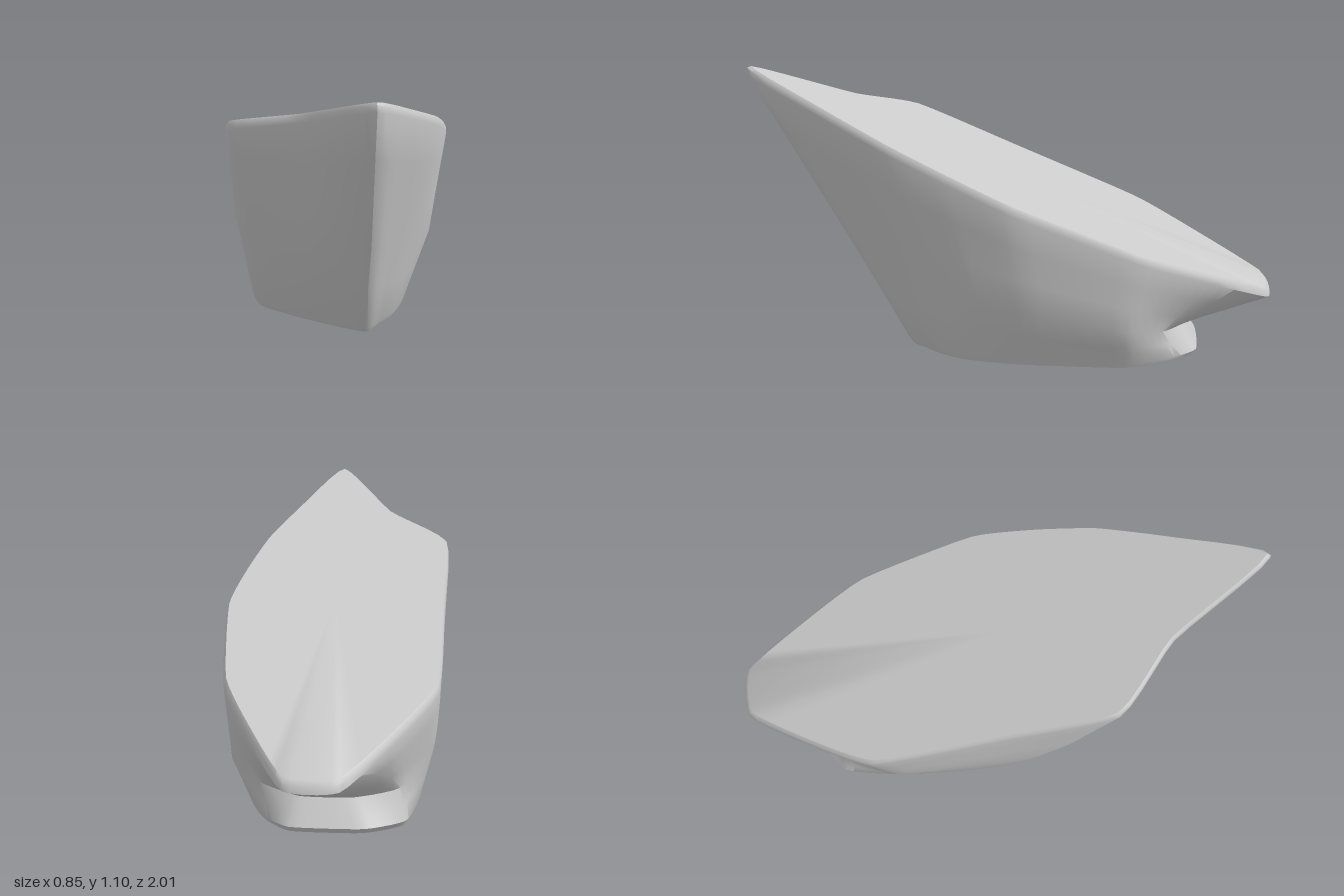
import * as THREE from 'three';
import { mergeVertices, toCreasedNormals } from 'three/addons/utils/BufferGeometryUtils.js';

// Each column runs down the side of the rock: top edge [x, z], waist [x, y, z], foot [x, z]
const COLUMNS = [
  [[0.05, 1.0], [0.07, 0.45, 0.63], [0.07, 0.39]],
  [[-0.18, 0.64], [-0.15, 0.42, 0.48], [-0.14, 0.27]],
  [[-0.42, 0.42], [-0.39, 0.42, 0.26], [-0.33, 0.12]],
  [[-0.42, 0.0], [-0.41, 0.36, -0.08], [-0.35, -0.15]],
  [[-0.41, -0.5], [-0.39, 0.22, -0.42], [-0.34, -0.42]],
  [[-0.27, -0.76], [-0.28, 0.14, -0.62], [-0.3, -0.64]],
  [[-0.1, -1.0], [-0.12, 0.12, -0.68], [-0.16, -0.735]],
  [[0.09, -1.0], [0.07, 0.12, -0.68], [0.1, -0.735]],
  [[0.23, -0.77], [0.22, 0.14, -0.6], [0.2, -0.63]],
  [[0.36, -0.5], [0.34, 0.18, -0.46], [0.27, -0.46]],
  [[0.42, -0.05], [0.37, 0.25, -0.1], [0.27, -0.05]],
  [[0.38, 0.2], [0.34, 0.3, 0.12], [0.24, 0.15]],
  [[0.32, 0.43], [0.27, 0.35, 0.28], [0.19, 0.26]],
  [[0.2, 0.71], [0.17, 0.4, 0.46], [0.13, 0.33]],
];
const STEPS = COLUMNS.length * 5;
const topHeight = (z) => 0.694 + 0.414 * z;

// Closed ring with lightly rounded corners
function ring(pointOf) {
  const curve = new THREE.CatmullRomCurve3(COLUMNS.map(pointOf), true, 'catmullrom', 0.25);
  return Array.from({ length: STEPS }, (_, i) => curve.getPoint(i / STEPS));
}

function createRockGeometry() {
  const top = (s, drop) => ([[x, z]]) => new THREE.Vector3(x * s, topHeight(z * s) - drop, z * s);
  const waist = ([, m]) => new THREE.Vector3(...m);
  const foot = (s, y) => ([, , [x, z]]) =>
    new THREE.Vector3(x * s, y, -0.17 + (z + 0.17) * s);
  const blend = (a, b, t) => (c) => a(c).lerp(b(c), t);

  // Rings from the sloping top, over its bevelled rim, down to the flat underside
  const rim = top(1, 0.035);
  const heel = foot(1, 0.025);
  const rings = [
    top(0.98, 0), top(0.995, 0.012), rim,
    blend(rim, waist, 0.33), blend(rim, waist, 0.67), waist,
    blend(waist, heel, 0.5), heel, foot(0.97, 0.004), foot(0.93, 0),
  ].map(ring);

  const verts = rings.flat();
  const topCentre = verts.length;
  verts.push(new THREE.Vector3(0, topHeight(0), 0), new THREE.Vector3(-0.03, 0, -0.17));

  const index = [];
  const last = (rings.length - 1) * STEPS;
  for (let i = 0; i < STEPS; i++) {
    const j = (i + 1) % STEPS;
    for (let r = 0; r < rings.length - 1; r++) {
      const a = r * STEPS + i, b = r * STEPS + j;
      index.push(a, b, a + STEPS, b, b + STEPS, a + STEPS);
    }
    index.push(topCentre, j, i, topCentre + 1, last + i, last + j);
  }
  // The columns run clockwise seen from above, so turn every face outward
  for (let k = 0; k < index.length; k += 3) {
    [index[k + 1], index[k + 2]] = [index[k + 2], index[k + 1]];
  }
  return orientOutward(verts, index);
}

// Makes the surface enclose a positive volume
function orientOutward(verts, index) {
  let volume = 0;
  for (let k = 0; k < index.length; k += 3) {
    const [a, b, c] = [0, 1, 2].map((n) => verts[index[k + n]]);
    volume += a.dot(b.clone().cross(c));
  }
  if (volume < 0) index.reverse();
  const geometry = new THREE.BufferGeometry().setFromPoints(verts);
  geometry.setIndex(index);
  return toCreasedNormals(mergeVertices(geometry), 0.7);
}

export function createModel() {
  const group = new THREE.Group();
  group.name = 'rock';
  const stone = new THREE.Mesh(
    createRockGeometry(),
    new THREE.MeshStandardMaterial({ color: 0xcccccc })
  );
  stone.name = 'slantedStone';
  group.add(stone);
  return group;
}
